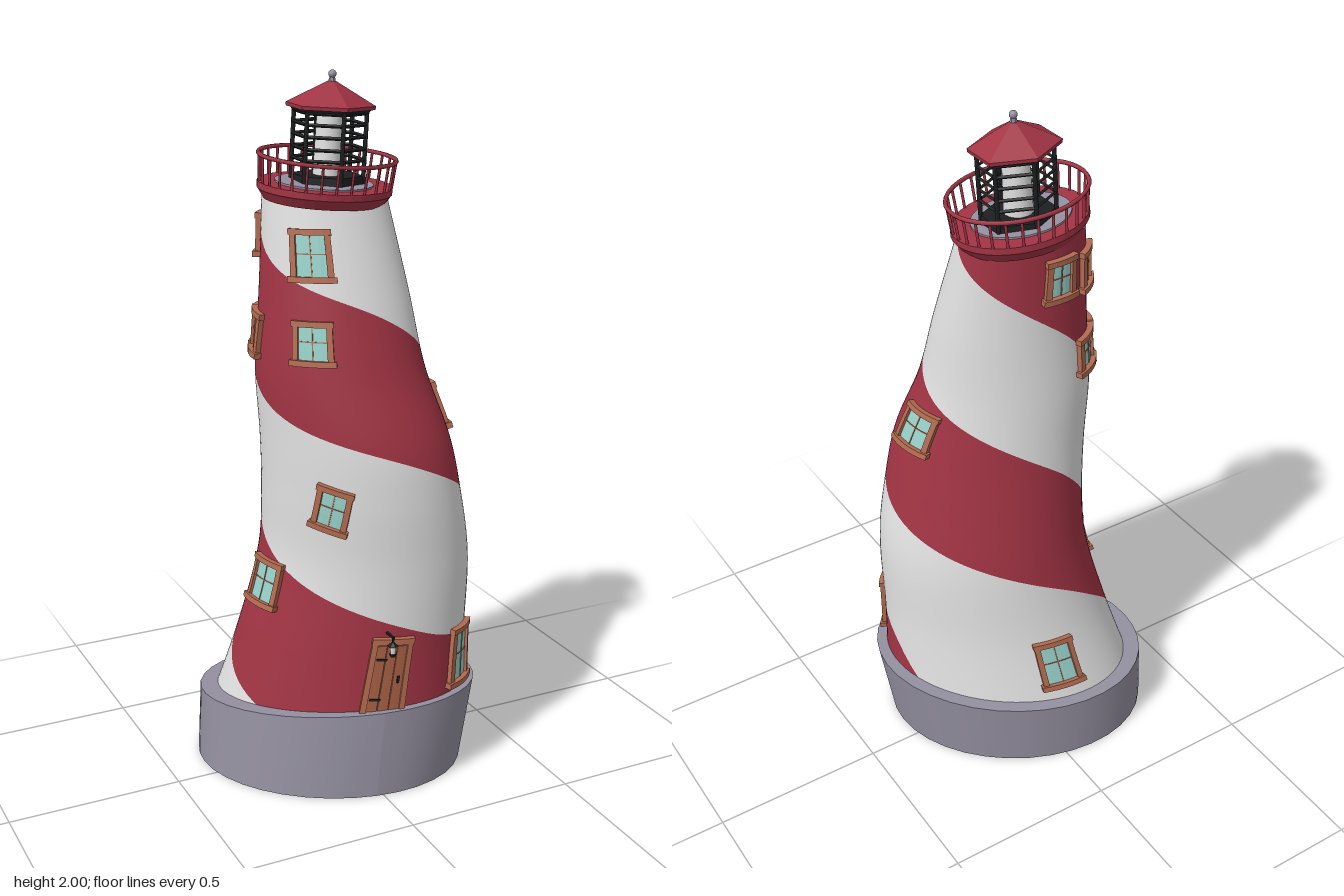
import * as THREE from 'three';

const mat = (name, color) => Object.assign(new THREE.MeshStandardMaterial({ color }), { name });
const DEG = Math.PI / 180;

// Tower sections: y, then centre x, half width x, centre z, half width z, skew
const sections = [
  [0.15, 0.008, 0.347, 0, 0.307, 0.31],
  [0.4, 0.038, 0.309, 0.03, 0.27, 0.3],
  [0.66, 0.067, 0.278, 0.051, 0.251, 0.3],
  [0.85, 0.053, 0.259, 0.061, 0.241, 0.3],
  [1.0, 0.035, 0.245, 0.059, 0.229, 0.3],
  [1.2, 0.002, 0.222, 0.032, 0.198, 0.25],
  [1.4, -0.005, 0.2, 0.01, 0.17, 0.2],
  [1.7, -0.018, 0.167, -0.032, 0.128, 0.1],
];
const sectionAt = new THREE.CubicInterpolant(sections.map(s => s[0]), sections.flatMap(s => s.slice(1)), 5);

// Point on the tower wall; u in degrees, 0 = front, 90 = +x
function wall(u, y) {
  const [cx, ax, cz, az, skew] = sectionAt.evaluate(y);
  return new THREE.Vector3(cx + ax * Math.sin(u * DEG), y, cz + az * Math.cos(u * DEG - skew));
}
const alongWall = (u, y) => wall(u + 0.5, y).sub(wall(u - 0.5, y));
function wallNormal(u, y) {
  const up = wall(u, y + 0.005).sub(wall(u, y - 0.005));
  return alongWall(u, y).cross(up).normalize();
}

// Height of the spiral, falling one pitch per turn and steeper where it meets the plinth
const PITCH = 0.83, knots = [];
for (const k of [-2, -1, 0]) {
  [[-90, 0.03], [17, -0.15], [90, -0.305], [198, -0.54]].forEach(([a, h]) => knots.push([a + 360 * k, h - PITCH * k]));
}
knots.push([270, -0.81], [377, -1.04], [450, -1.17], [474, -1.3], [558, -1.75]);
const spiral = new THREE.CubicInterpolant(knots.map(k => k[0]), knots.map(k => k[1]), 1);
const redLow = v => 1.11 + spiral.evaluate(v)[0];
const redHigh = v => 1.51 + spiral.evaluate(v)[0];

// One painted spiral stripe of the wall between two edge curves
function stripeGeometry(low, high) {
  const pos = [], nor = [], idx = [], rows = 14, y0 = 0.17, y1 = 1.68;
  let col = 0;
  for (let v = -630; v <= 555; v += 5, col++) {
    const a = THREE.MathUtils.clamp(low(v), y0, y1), b = THREE.MathUtils.clamp(high(v), y0, y1);
    for (let r = 0; r <= rows; r++) {
      const y = a + (b - a) * r / rows;
      pos.push(...wall(v, y).toArray());
      nor.push(...wallNormal(v, y).toArray());
      if (col && r) {
        const q = col * (rows + 1) + r, p = q - rows - 1;
        idx.push(p - 1, q - 1, q, p - 1, q, p);
      }
    }
  }
  const g = new THREE.BufferGeometry();
  g.setAttribute('position', new THREE.Float32BufferAttribute(pos, 3));
  g.setAttribute('normal', new THREE.Float32BufferAttribute(nor, 3));
  g.setIndex(idx);
  return g;
}

function flat(g) {
  const f = g.index ? g.toNonIndexed() : g;
  f.computeVertexNormals();
  return f;
}

export function createModel() {
  const red = mat('red paint', 0xa23444), white = mat('white paint', 0xe2e2e2);
  const stone = mat('grey stone', 0x9490a0), wood = mat('window wood', 0xb36b50);
  const plank = mat('door wood', 0xa66044), glass = mat('pale glass', 0x98d2cb);
  const iron = mat('black iron', 0x1d1f20);

  const model = new THREE.Group();
  const add = (parent, name, g, m, x = 0, y = 0, z = 0) => {
    const mesh = new THREE.Mesh(g, m);
    mesh.name = name;
    mesh.position.set(x, y, z);
    parent.add(mesh);
    return mesh;
  };
  const group = name => {
    const g = new THREE.Group();
    g.name = name;
    model.add(g);
    return g;
  };

  // Skewed oval plinth with a sloping top
  const plinth = new THREE.CylinderGeometry(1, 1, 1, 36);
  const p = plinth.attributes.position;
  for (let i = 0; i < p.count; i++) {
    const top = p.getY(i) > 0, sx = p.getX(i), sz = p.getZ(i), skew = top ? 0.28 : 0.23;
    const x = top ? 0.007 + 0.381 * sx : -0.02 + 0.37 * sx;
    const z = 0.329 * (sz * Math.cos(skew) + sx * Math.sin(skew));
    p.setXYZ(i, x, top ? 0.227 + 0.085 * z + 0.02 * x : 0, z);
  }
  plinth.computeVertexNormals();
  add(model, 'plinth', plinth, stone);

  // Striped tower wall
  add(model, 'redStripe', stripeGeometry(redLow, redHigh), red);
  add(model, 'whiteStripe', stripeGeometry(v => redHigh(v + 360), redLow), white);

  // Returns a box maker whose boxes bend with the wall: x along it, y up, z outward
  const wallBoxes = (name, u, y, roll) => {
    const g = group(name), step = alongWall(u, y).length();
    return (part, m, w, h, d, bx, by, bz) => {
      const geo = new THREE.BoxGeometry(w, h, d, Math.ceil(w / 0.025), Math.ceil(h / 0.04), 1);
      geo.translate(bx, by, bz).rotateZ(roll);
      const q = geo.attributes.position;
      for (let i = 0; i < q.count; i++) {
        const a = u + q.getX(i) / step, b = y + q.getY(i);
        q.setXYZ(i, ...wall(a, b).addScaledVector(wallNormal(a, b), q.getZ(i)).toArray());
      }
      add(g, part, flat(geo), m);
    };
  };

  // Windows: angle, height, width, tallness, roll
  [
    [-35, 1.53, 0.11, 0.14, 0], [-37, 1.3, 0.11, 0.12, 0], [-37, 0.845, 0.1, 0.13, -0.25],
    [51, 0.36, 0.11, 0.18, -0.05], [-81, 0.58, 0.125, 0.14, 0], [98, 1.075, 0.125, 0.13, 0],
    [186, 0.325, 0.12, 0.16, 0], [-131, 1.305, 0.1, 0.115, 0], [-101, 1.3, 0.085, 0.125, -0.1],
    [-168, 1.575, 0.09, 0.125, 0], [-127, 1.56, 0.078, 0.12, 0],
  ].forEach(([u, y, w, h, roll]) => {
    const box = wallBoxes('window', u, y, roll), t = 0.016;
    box('pane', glass, w - t, h - t, 0.008, 0, 0, 0.002);
    for (const s of [-1, 1]) box('jamb', wood, t, h - t, 0.02, s * (w - t) / 2, 0, 0.004);
    box('lintel', wood, w + 0.006, t, 0.024, 0, (h - t) / 2, 0.005);
    box('sill', wood, w + 0.012, t, 0.03, 0, -(h - t) / 2, 0.006);
    box('uprightBar', wood, 0.003, h - 2 * t, 0.004, 0, 0, 0.006);
    box('crossBar', wood, w - 2 * t, 0.003, 0.004, 0, 0.005, 0.006);
  });

  // Plank door
  const door = wallBoxes('door', -1, 0.355, -0.04);
  for (let i = -1; i <= 1; i++) door('plank', plank, 0.028, 0.2, 0.016, i * 0.03, -0.01, 0);
  for (const s of [-1, 1]) {
    door('doorPost', wood, 0.016, 0.21, 0.024, s * 0.052, -0.005, 0.002);
    door('hinge', iron, 0.03, 0.006, 0.004, -0.025, s * 0.06 - 0.01, 0.009);
  }
  door('doorLintel', wood, 0.124, 0.018, 0.028, 0, 0.105, 0.003);
  door('doorHandle', iron, 0.006, 0.02, 0.008, 0.03, -0.01, 0.01);

  // Lamp hung over the door
  const lamp = group('doorLamp');
  lamp.position.set(0.028, 0.452, 0.317);
  add(lamp, 'bracket', new THREE.BoxGeometry(0.006, 0.006, 0.045), iron, 0, 0.032, -0.017);
  add(lamp, 'hook', new THREE.BoxGeometry(0.005, 0.02, 0.005), iron, 0, 0.024, 0);
  add(lamp, 'lampCap', flat(new THREE.ConeGeometry(0.016, 0.014, 6)), iron, 0, 0.014, 0);
  add(lamp, 'lampGlass', new THREE.CylinderGeometry(0.009, 0.007, 0.026, 6), white, 0, -0.005, 0);
  add(lamp, 'lampFoot', new THREE.CylinderGeometry(0.011, 0.008, 0.008, 6), iron, 0, -0.021, 0);

  // Tilted gallery deck and railing
  const gallery = group('gallery');
  gallery.position.set(-0.018, 1.7, -0.017);
  gallery.rotation.set(0.06, 0, -0.07);
  const deckProfile = [[0, -0.045], [0.9, -0.045], [0.98, -0.022], [1, -0.018], [1, 0], [0, 0]];
  const deck = new THREE.LatheGeometry(deckProfile.map(a => new THREE.Vector2(...a)), 36);
  add(gallery, 'deck', flat(deck.scale(0.19, 1, 0.16)), red);
  add(gallery, 'deckFloor', new THREE.CylinderGeometry(1, 1, 0.006, 36).scale(0.138, 1, 0.118), stone, -0.004, 0.002, 0);
  const rail = new THREE.TorusGeometry(0.192, 0.006, 6, 40).rotateX(Math.PI / 2).scale(1, 1, 0.86);
  add(gallery, 'handrail', rail, red, 0, 0.073, 0);
  for (let i = 0; i < 28; i++) {
    const a = i / 28 * Math.PI * 2;
    const post = add(gallery, 'baluster', new THREE.CylinderGeometry(0.004, 0.004, 0.078, 5), red,
      0.188 * Math.sin(a), 0.035, 0.16 * Math.cos(a));
    post.rotation.set(0.08 * Math.cos(a), 0, -0.08 * Math.sin(a));
  }

  // Six-sided lantern room with iron bars
  const lantern = group('lanternRoom');
  lantern.position.set(-0.01, 1.7, -0.025);
  lantern.rotation.set(0.02, 0, -0.05);
  const hex = (r1, r2, h) => flat(new THREE.CylinderGeometry(r1, r2, h, 6).scale(1.2, 1, 1));
  add(lantern, 'lanternFoot', hex(0.086, 0.09, 0.025), iron, 0, 0.01, 0);
  add(lantern, 'lightCore', new THREE.CylinderGeometry(0.036, 0.04, 0.185, 16), white, 0, 0.105, 0);
  for (const y of [0.065, 0.095, 0.128, 0.16, 0.19]) {
    const ring = new THREE.TorusGeometry(0.085, 0.005, 4, 6).rotateX(Math.PI / 2).rotateY(Math.PI / 2);
    add(lantern, 'bar', flat(ring.scale(1.2, 1, 1)), iron, 0, y, 0);
  }
  for (let i = 0; i < 6; i++) {
    const a = i * Math.PI / 3;
    add(lantern, 'post', new THREE.CylinderGeometry(0.006, 0.006, 0.2, 6), iron,
      0.102 * Math.sin(a), 0.1, 0.085 * Math.cos(a));
  }
  add(lantern, 'ceiling', hex(0.096, 0.09, 0.01), iron, 0, 0.197, 0);
  add(lantern, 'eaves', hex(0.105, 0.104, 0.01), red, 0, 0.205, 0);
  add(lantern, 'roof', hex(0.01, 0.105, 0.06), red, 0, 0.24, 0);
  add(lantern, 'finialNeck', hex(0.006, 0.009, 0.015), stone, 0, 0.276, 0);
  add(lantern, 'finial', new THREE.SphereGeometry(0.011, 12, 8), stone, 0, 0.289, 0);

  return model;
}
